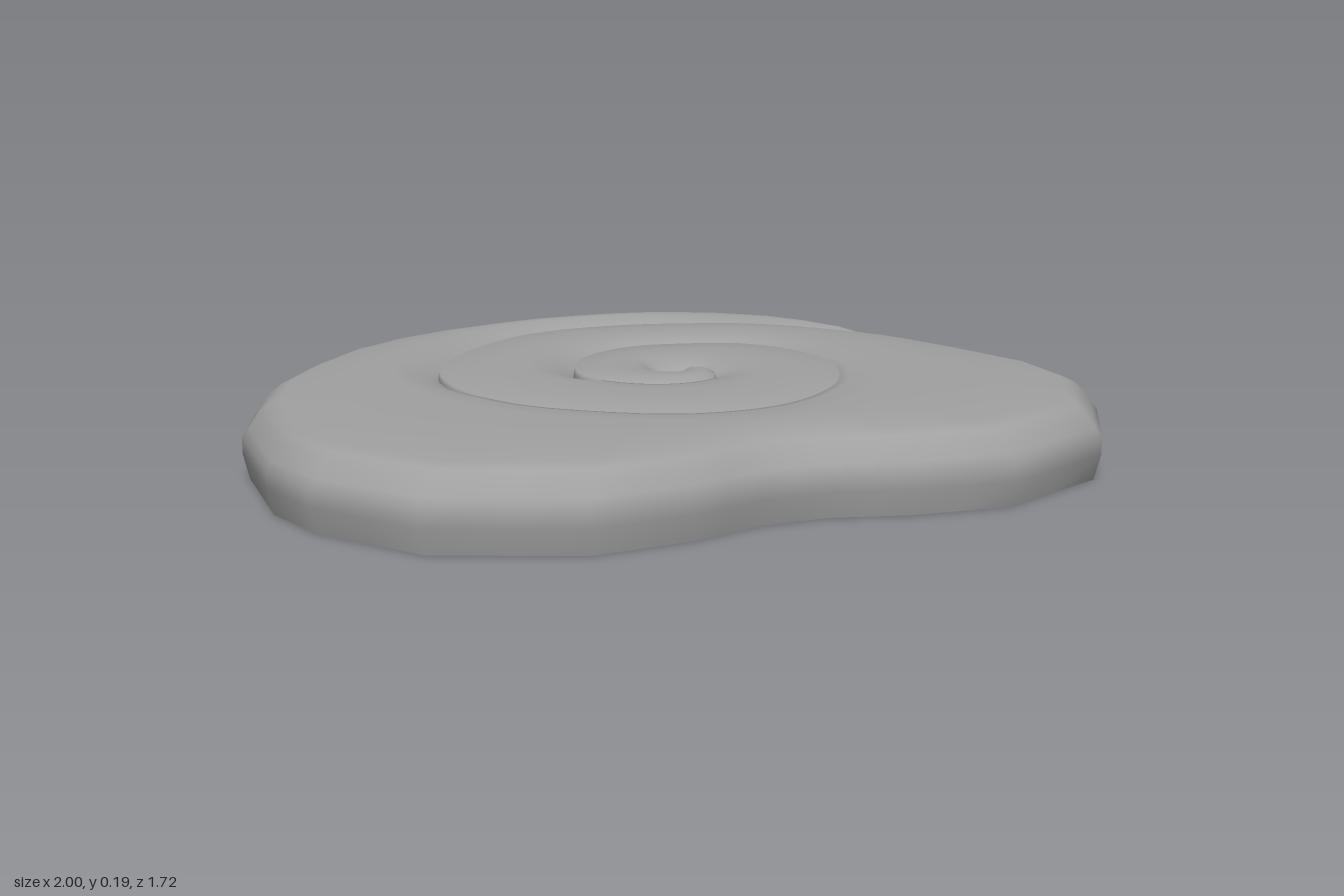
import * as THREE from 'three';

// Outer edge of the coiled strip (x, z): the curved inner whorls, then the faceted rim
const CORE = [
  0.05, -0.02, 0.1, -0.035, 0.15, 0.04, 0.12, 0.11, 0.04, 0.145, -0.05, 0.13, -0.14, 0.06, -0.18, -0.03,
  -0.17, -0.12, -0.12, -0.22, -0.03, -0.295, 0.07, -0.33, 0.16, -0.325, 0.34, -0.27, 0.43, -0.16, 0.47, 0,
  0.46, 0.08, 0.4, 0.23, 0.31, 0.34, 0.18, 0.43, 0.06, 0.46, -0.1, 0.445, -0.3, 0.335, -0.42, 0.22,
  -0.49, 0.07, -0.51, -0.08, -0.48, -0.23, -0.36, -0.41, -0.2, -0.55, -0.06, -0.605, 0.05, -0.615, 0.17, -0.61,
  0.32, -0.575, 0.49, -0.53, 0.66, -0.43, 0.81, -0.28, 0.92, -0.04,
];
const RIM = [
  1, 0.2, 1, 0.4, 0.86, 0.66, 0.56, 0.81, 0.32, 0.8, 0.14, 0.76, -0.02, 0.77, -0.2, 0.83, -0.44, 0.86,
  -0.76, 0.74, -0.94, 0.51, -1, 0.33, -1, 0, -0.93, -0.23, -0.82, -0.41, -0.69, -0.57, -0.54, -0.69,
  -0.39, -0.77, -0.24, -0.82, -0.1, -0.85, 0.03, -0.86, 0.15, -0.86, 0.3, -0.84, 0.46, -0.77, 0.61, -0.65,
  0.75, -0.46, 0.85, -0.26, 0.93, -0.04,
];
const CX = 0.07, CZ = 0, TURN = Math.PI * 2;
const { lerp, smoothstep, clamp } = THREE.MathUtils;

const toPoints = (flat) => Array.from({ length: flat.length / 2 },
  (_, i) => new THREE.Vector3(flat[2 * i], 0, flat[2 * i + 1]));

// Polar rows (unwrapped angle, radius) along the whole edge
function coilRows() {
  const core = toPoints(CORE), rim = toPoints(RIM);
  const path = new THREE.CatmullRomCurve3(core).getPoints((core.length - 1) * 3);
  for (const p of rim) path.push(path[path.length - 1].clone().lerp(p, 0.5), p);
  let last = -Math.PI;
  return path.map(({ x, z }) => {
    let a = Math.atan2(z - CZ, x - CX);
    while (a < last - 0.5) a += TURN;
    last = a;
    return { a, r: Math.hypot(x - CX, z - CZ) };
  });
}

function radiusAt(rows, a) {
  if (a <= rows[0].a) return 0;
  const i = rows.findIndex((row) => row.a >= a);
  const p = rows[i - 1], q = rows[i];
  return lerp(p.r, q.r, (a - p.a) / Math.max(q.a - p.a, 1e-6));
}

// Cross-section as [radius, height], from the outer foot over the top to the tucked inner lip
function section(rows, { a, r }) {
  // Near its outer end the strip laps over the whorl inside it
  const lap = smoothstep(a, 3 * TURN - 1.5, 3 * TURN - 0.8);
  const inner = Math.max(0, radiusAt(rows, a - TURN) - 0.02 - 0.05 * lap);
  const w = Math.max(r - inner, 0.005);
  // Buried whorls have a tight shoulder and flared foot, the exposed whorl a soft shoulder
  const soft = smoothstep(a, 2 * TURN - 1.2, 2 * TURN - 0.3);
  const s = Math.min(lerp(0.1, 1, soft), w / 0.2);
  const flare = 0.055 * (1 - soft) * smoothstep(r, 0.15, 0.45);
  // The strip rises out of the centre and its outer end sinks into the wall
  const tail = clamp((a - 3 * TURN + 1.2) / 1.16, 0, 1) ** 4;
  const height = 1 - 0.18 * (1 - smoothstep(a, rows[0].a, rows[0].a + 3)) - 0.97 * tail;
  // The crease is deepest along the back and at the centre
  const back = Math.max(0, Math.cos(a + 1.8)) * Math.min(1, w / 0.25);
  const dip = 0.008 + 0.047 * back * (1 - lap) + 0.035 * (1 - smoothstep(inner, 0.03, 0.12));
  const slope = Math.min(0.12, w * 0.4);
  const shoulder = r - 0.09 * s;
  const points = [
    [r - 0.015 * s + flare, 0], [r + flare * 0.9, 0.06], [r + flare * 0.2, 0.1],
    [r - 0.015 * s, 0.12], [r - 0.035 * s, 0.15], [r - 0.06 * s, 0.17], [shoulder, 0.183],
    [lerp(shoulder, inner + slope, 0.5), 0.192],
    [inner + slope, 0.193],
    [inner + slope * 0.6, 0.191 - dip * 0.25],
    [inner + slope * 0.3, 0.19 - dip * 0.65],
    [inner, 0.188 - dip],
    [inner - 0.07, 0.08],
  ];
  return points.map(([d, y]) => [Math.max(0.002, d), y * height]);
}

function coilGeometry() {
  const rows = coilRows(), pos = [], idx = [];
  rows.forEach((row, i) => {
    const profile = section(rows, row), n = profile.length;
    for (const [d, y] of profile) pos.push(CX + d * Math.cos(row.a), y, CZ + d * Math.sin(row.a));
    if (i === rows.length - 1) return;
    for (let j = 0; j < n - 1; j++) {
      const k = i * n + j;
      idx.push(k, k + 1, k + n, k + 1, k + n + 1, k + n);
    }
  });
  const geo = new THREE.BufferGeometry();
  geo.setAttribute('position', new THREE.Float32BufferAttribute(pos, 3));
  geo.setIndex(idx);
  geo.computeVertexNormals();
  return geo;
}

export function createModel() {
  const group = new THREE.Group();
  group.name = 'spiralRosette';
  // One open-bottomed strip wound from the centre to the rim
  const coil = new THREE.Mesh(
    coilGeometry(),
    new THREE.MeshStandardMaterial({ color: 0xa0a0a0, side: THREE.DoubleSide }),
  );
  coil.name = 'coiledStrip';
  group.add(coil);
  return group;
}
